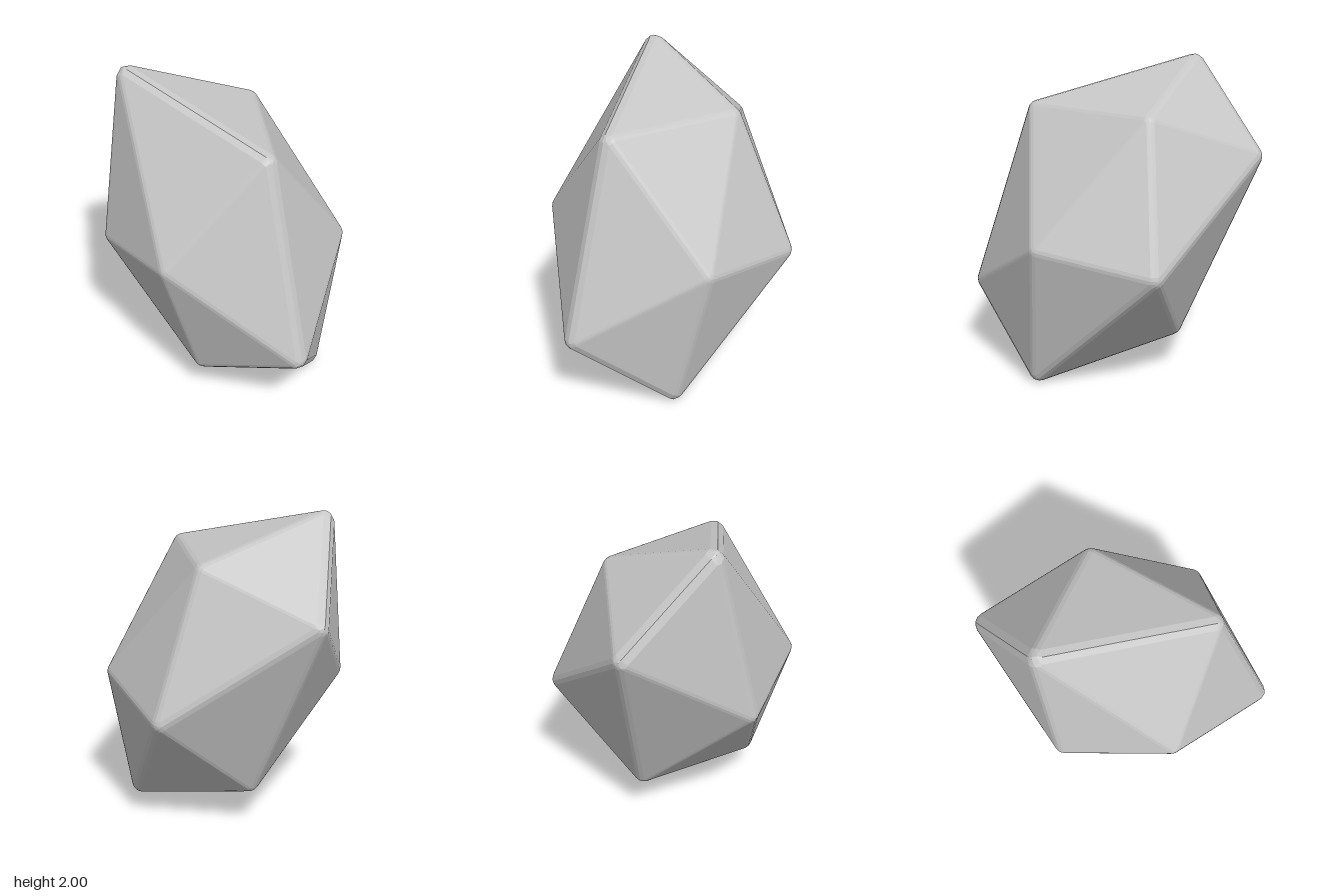
import * as THREE from 'three';
import { ConvexGeometry } from 'three/addons/geometries/ConvexGeometry.js';

const BEVEL = 0.07;

// Twelve corners of a skewed icosahedron
const CORNERS = [
  [-0.63, 1.99, 0.08], [0.42, 1.73, 0.39], [0.02, 1.73, -0.4], [-0.73, 1.45, -0.49],
  [-0.1, 1.04, 0.76], [-0.69, 0.92, 0.33], [0.73, 0.49, 0.64], [0.73, 0.93, -0.2],
  [0.2, 0.82, -0.76], [0.05, 0.2, 0.53], [0.63, 0.01, 0.01], [-0.25, 0.25, -0.28],
];

// Rounds a convex solid: each corner becomes a small faceted cap that spans its face normals
function bevelledHull(corners, radius) {
  const pos = new ConvexGeometry(corners).getAttribute('position');
  const normals = corners.map(() => []);
  const tri = new THREE.Triangle();
  for (let i = 0; i < pos.count; i += 3) {
    tri.setFromAttributeAndIndices(pos, i, i + 1, i + 2);
    const n = tri.getNormal(new THREE.Vector3());
    for (const p of [tri.a, tri.b, tri.c]) {
      normals[corners.findIndex((c) => c.distanceTo(p) < 1e-4)].push(n);
    }
  }
  const points = [];
  corners.forEach((c, k) => {
    const list = normals[k];
    list.forEach((a, i) => {
      for (let j = i; j < list.length; j++) {
        const dir = a.clone().add(list[j]).normalize();
        points.push(c.clone().addScaledVector(dir, radius));
      }
    });
  });
  return new ConvexGeometry(points);
}

export function createModel() {
  const model = new THREE.Group();
  model.name = 'rock';
  const stone = new THREE.MeshStandardMaterial({ color: 0xc6c6c6 });
  stone.name = 'light stone grey';

  // Pull the corners in by the bevel so the rounded tips land on them
  const centre = new THREE.Vector3(0, 0.97, 0.04);
  const core = CORNERS.map((c) => {
    const p = new THREE.Vector3(...c);
    return p.addScaledVector(p.clone().sub(centre).normalize(), -BEVEL);
  });

  // Centre it over the origin, standing on the ground
  const geometry = bevelledHull(core, BEVEL);
  geometry.center();
  geometry.translate(0, -geometry.boundingBox.min.y, 0);

  const boulder = new THREE.Mesh(geometry, stone);
  boulder.name = 'boulder';
  model.add(boulder);
  return model;
}
